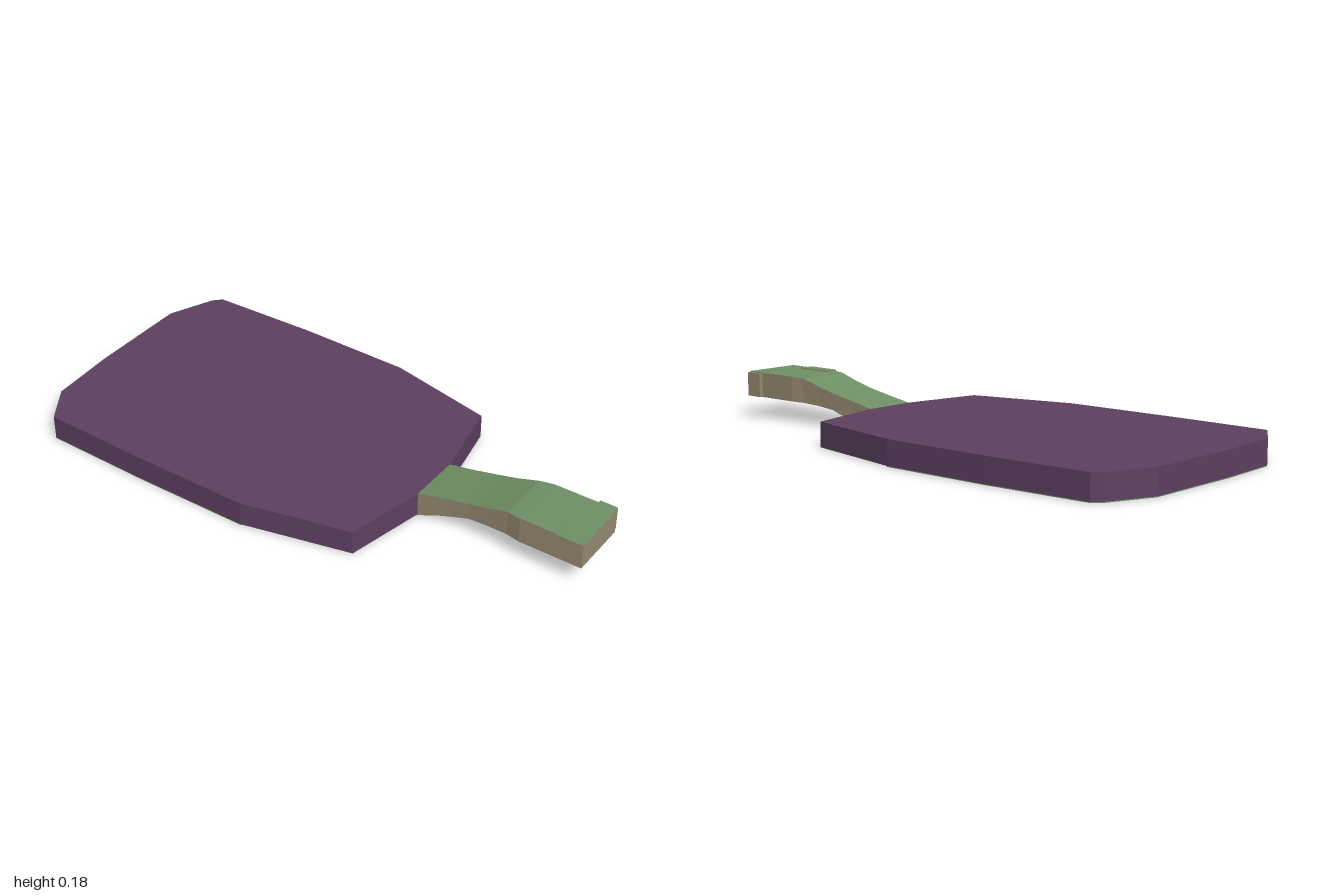
import * as THREE from 'three';

const material = (name, color) => {
  const m = new THREE.MeshStandardMaterial({ color, flatShading: true });
  m.name = name;
  return m;
};

// Flat slab from an outline of [x, z] points, between heights y0 and y1
function slab(name, outline, y0, y1, mat) {
  const shape = new THREE.Shape(outline.map(([x, z]) => new THREE.Vector2(x, -z)));
  const geo = new THREE.ExtrudeGeometry(shape, { depth: y1 - y0, bevelEnabled: false });
  geo.rotateX(-Math.PI / 2).translate(0, y0, 0);
  const mesh = new THREE.Mesh(geo, mat);
  mesh.name = name;
  return mesh;
}

// Box given by its minimum and maximum corners; the top may have its own material
function block(name, min, max, side, top) {
  const size = max.map((v, i) => v - min[i]);
  const geo = new THREE.BoxGeometry(...size);
  geo.translate(...min.map((v, i) => v + size[i] / 2));
  const mesh = new THREE.Mesh(geo, [side, side, top, side, side, side]);
  mesh.name = name;
  return mesh;
}

// Rectangular sections [z, left x, right x, bottom y, top y] joined from back to front
function handleGeometry(sections) {
  const rings = sections.map(([z, l, r, b, t]) => [[l, b, z], [r, b, z], [r, t, z], [l, t, z]]);
  const body = [], top = [];
  const quad = (list, a, b, c, d) => list.push(...a, ...b, ...c, ...a, ...c, ...d);
  for (let i = 0; i < rings.length - 1; i++) {
    for (let k = 0; k < 4; k++) {
      const n = (k + 1) % 4;
      quad(k === 2 ? top : body, rings[i][k], rings[i][n], rings[i + 1][n], rings[i + 1][k]);
    }
  }
  const first = rings[0], last = rings[rings.length - 1];
  quad(body, ...last);
  quad(body, first[3], first[2], first[1], first[0]);
  const geo = new THREE.BufferGeometry();
  geo.setAttribute('position', new THREE.Float32BufferAttribute([...body, ...top], 3));
  geo.addGroup(0, body.length / 3, 0);
  geo.addGroup(body.length / 3, top.length / 3, 1);
  geo.computeVertexNormals();
  return geo;
}

export function createModel() {
  const purple = material('purple rubber', 0x5e4161);
  const green = material('green', 0x6f9065);
  const tan = material('tan wood', 0x998b73);
  const model = new THREE.Group();
  model.name = 'paddle';

  // Blade, with its two shoulder corners listed separately
  const rightShoulder = [0.4, 0.32], leftShoulder = [-0.385, 0.32];
  const outline = [
    [-0.095, 0.38], [0.1, 0.38], rightShoulder, [0.482, -0.08], [0.485, -0.5],
    [0.47, -0.9], [0.44, -0.93], [0.275, -1], [-0.1, -1], [-0.35, -0.985],
    [-0.48, -0.9], [-0.485, -0.5], [-0.48, -0.07], leftShoulder,
  ];
  model.add(slab('blade', outline, 0.003, 0.092, purple));

  // Green underside leaves the shoulders bare
  const underside = outline.filter((p) => p !== rightShoulder && p !== leftShoulder);
  model.add(slab('bladeUnderside', underside, 0, 0.003, green));

  // Handle rising in a curve from the blade
  const handle = new THREE.Mesh(handleGeometry([
    [0.38, -0.095, 0.1, 0, 0.092],
    [0.47, -0.088, 0.1, 0.035, 0.11],
    [0.57, -0.084, 0.105, 0.068, 0.13],
    [0.64, -0.086, 0.106, 0.075, 0.147],
    [0.72, -0.09, 0.11, 0.079, 0.17],
    [0.77, -0.1, 0.12, 0.08, 0.172],
    [1, -0.099, 0.123, 0.08, 0.172],
  ]), [tan, green]);
  handle.name = 'handle';
  model.add(handle);

  // Small tab at the end and raised patch on the grip
  model.add(block('handleTab', [0.12, 0.081, 0.93], [0.137, 0.169, 0.995], tan, green));
  model.add(block('gripPatch', [-0.101, 0.17, 0.765], [-0.052, 0.176, 0.9], tan, green));
  return model;
}
